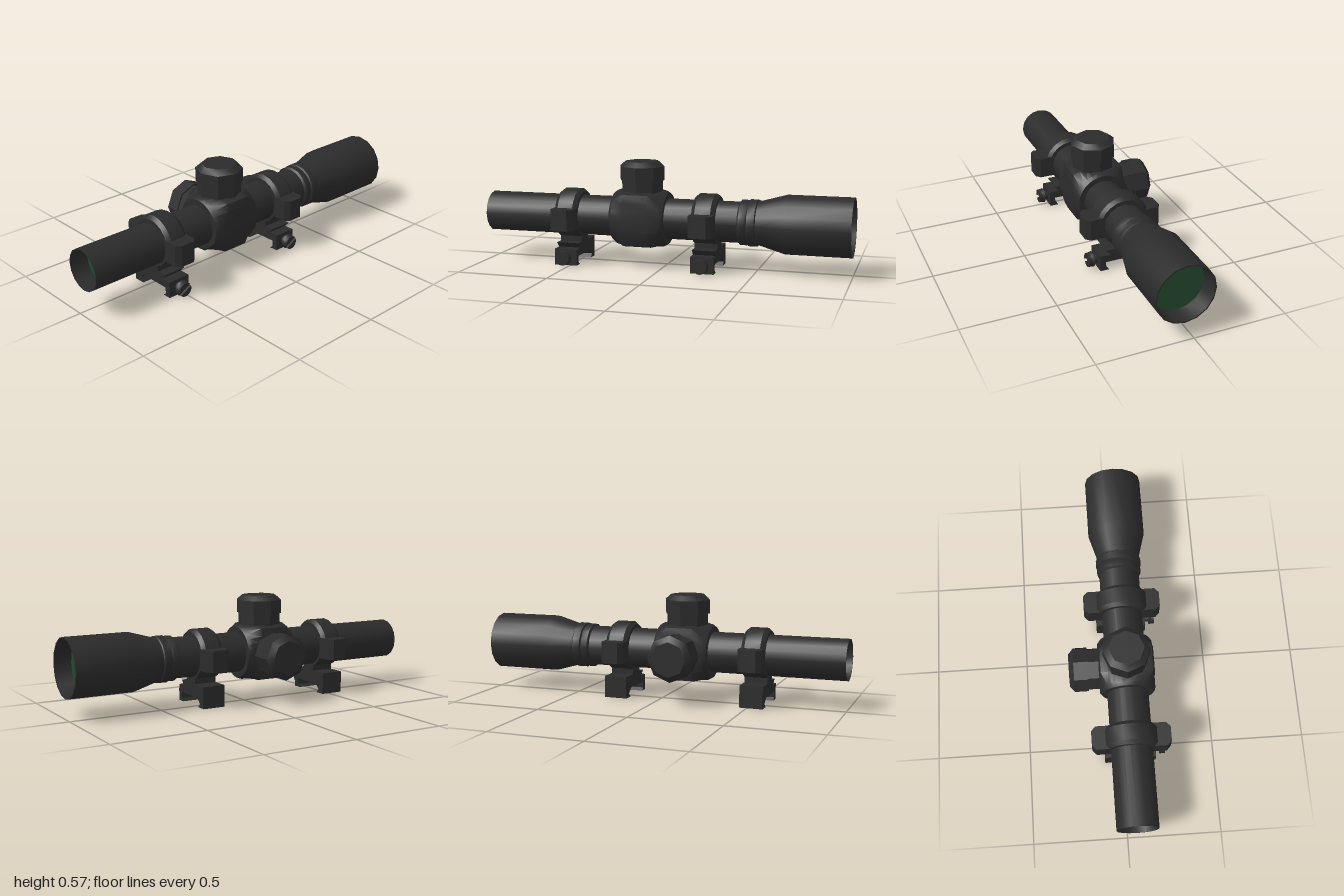
import * as THREE from 'three';
import { toCreasedNormals } from 'three/addons/utils/BufferGeometryUtils.js';

const body = new THREE.MeshStandardMaterial({ color: 0x2b2b2b });
body.name = 'matte black';
const glass = new THREE.MeshStandardMaterial({ color: 0x24482f });
glass.name = 'green glass';

const AX = 0.05, AY = 0.26; // optical axis

function part(name, geo, mat = body) {
  const mesh = new THREE.Mesh(toCreasedNormals(geo, 0.6), mat);
  mesh.name = name;
  return mesh;
}

// Lathe from [radius, height] pairs
function lathe(points, sides, start = 0, length = Math.PI * 2) {
  return new THREE.LatheGeometry(points.map(p => new THREE.Vector2(...p)), sides, start, length);
}

function extrude(points, depth) {
  const shape = new THREE.Shape(points.map(p => new THREE.Vector2(...p)));
  return new THREE.ExtrudeGeometry(shape, { depth, bevelEnabled: false }).translate(0, 0, -depth / 2);
}

// Box that tapers to a round collar at both ends
function turretBlock() {
  const rows = [0.1475, 0.13, 0.07, -0.07, -0.13, -0.1475];
  const radii = [0.138, 0.15, 0.196, 0.196, 0.15, 0.138];
  const geo = new THREE.CylinderGeometry(1, 1, 1, 32, 5).rotateX(Math.PI / 2);
  const p = geo.attributes.position;
  for (let i = 0; i < p.count; i++) {
    const x = p.getX(i), y = p.getY(i);
    const row = Math.round((0.5 - p.getZ(i)) * 5);
    const side = Math.max(Math.abs(x), Math.abs(y));
    const r = side < 0.1 ? 0 : Math.min(radii[row], 0.148 / side);
    const ny = y * r;
    let nx = x * r;
    if (nx > 0.03 && ny < -0.065) nx += (ny + 0.065) * 0.22; // lower left side leans inward
    p.setXYZ(i, nx, ny, rows[row]);
  }
  return geo;
}

// Eight-sided adjustment knob, rising along +y from the axis
function knob(name) {
  const group = new THREE.Group();
  group.name = name;
  group.add(part(name + 'Neck', lathe([[0.115, 0.12], [0.115, 0.21]], 8)));
  group.add(part(name + 'Cap', lathe(
    [[0.11, 0.207], [0.124, 0.207], [0.124, 0.28], [0.093, 0.306], [0, 0.306]], 8)));
  return group;
}

// Clamp ring, ears, rail foot and screw
function mount(name, z) {
  const group = new THREE.Group();
  group.name = name;
  const w = 0.0625;

  const upper = lathe([[0.108, -w], [0.13, -w], [0.146, -0.042], [0.146, 0.042], [0.13, w], [0.108, w]],
    10, Math.PI / 2, Math.PI).rotateX(Math.PI / 2).translate(AX, AY, 0);
  group.add(part('upperRing', upper));
  const lower = lathe([[0.108, -w], [0.124, -w], [0.124, w], [0.108, w]],
    10, -Math.PI / 2, Math.PI).rotateX(Math.PI / 2).translate(AX, AY, 0);
  group.add(part('lowerRing', lower));

  // Ears with chamfered tips
  for (const s of [-1, 1]) {
    const pts = [[0.09, -w], [0.185, -w], [0.208, -0.038], [0.208, 0.038], [0.185, w], [0.09, w]]
      .map(([x, d]) => [x * s, d]);
    const ear = extrude(pts, 0.114).rotateX(Math.PI / 2).translate(AX, 0.256, 0);
    group.add(part(s > 0 ? 'leftEar' : 'rightEar', ear));
  }

  group.add(part('pedestal', new THREE.BoxGeometry(0.094, 0.04, 2 * w).translate(AX, 0.13, 0)));
  group.add(part('railFoot', extrude([
    [-0.093, 0.117], [-0.093, 0], [-0.032, 0], [-0.053, 0.02], [-0.025, 0.048], [0.153, 0.048],
    [0.153, 0.015], [0.135, 0], [0.183, 0], [0.183, 0.088], [0.125, 0.088], [0.152, 0.117]], 2 * w)));

  // Slotted screw
  const screw = new THREE.Group();
  screw.name = 'clampScrew';
  screw.add(part('screwShaft', new THREE.CylinderGeometry(0.025, 0.025, 0.03, 12)
    .rotateZ(Math.PI / 2).translate(0.194, 0, 0)));
  screw.add(part('screwHead', new THREE.CylinderGeometry(0.042, 0.038, 0.017, 12)
    .rotateZ(Math.PI / 2).translate(0.2135, 0, 0)));
  for (const s of [0, 1]) {
    const pts = [];
    for (let i = 0; i <= 6; i++) {
      const a = 0.2 + (Math.PI - 0.4) * i / 6;
      pts.push([0.038 * Math.cos(a), 0.038 * Math.sin(a)]);
    }
    const half = extrude(pts, 0.014).rotateZ(s * Math.PI + 0.5).rotateY(Math.PI / 2).translate(0.228, 0, 0);
    screw.add(part('screwHeadHalf', half));
  }
  screw.position.y = 0.045;
  group.add(screw);
  group.position.z = z;
  return group;
}

export function createModel() {
  const model = new THREE.Group();
  model.name = 'scope';

  // Everything centred on the optical axis
  const optics = new THREE.Group();
  optics.name = 'optics';
  optics.position.set(AX, AY, 0);
  model.add(optics);

  const tube = lathe([
    [0.138, -0.91], [0.15, -1], [0.157, -1], [0.157, -0.66], [0.119, -0.525], [0.119, -0.51],
    [0.125, -0.505], [0.125, -0.465], [0.117, -0.46], [0.121, -0.45], [0.121, -0.42], [0.11, -0.412],
    [0.11, 1], [0.105, 1], [0.102, 0.9]], 16).rotateX(Math.PI / 2);
  optics.add(part('mainTube', tube));

  // Recessed lenses
  const frontLens = part('frontLens', new THREE.CircleGeometry(0.104, 16), glass);
  frontLens.position.z = 0.902;
  const rearLens = part('rearLens', new THREE.CircleGeometry(0.14, 16).rotateY(Math.PI), glass);
  rearLens.position.z = -0.912;
  optics.add(frontLens, rearLens);

  // Central block with top and side knobs
  const block = part('turretBlock', turretBlock());
  block.position.z = 0.127;
  const topKnob = knob('topKnob');
  topKnob.position.z = 0.127;
  const sideKnob = knob('sideKnob');
  sideKnob.rotation.z = Math.PI / 2;
  sideKnob.position.set(0, -0.004, 0.125);
  optics.add(block, topKnob, sideKnob);

  model.add(mount('frontMount', 0.523), mount('rearMount', -0.237));
  return model;
}
